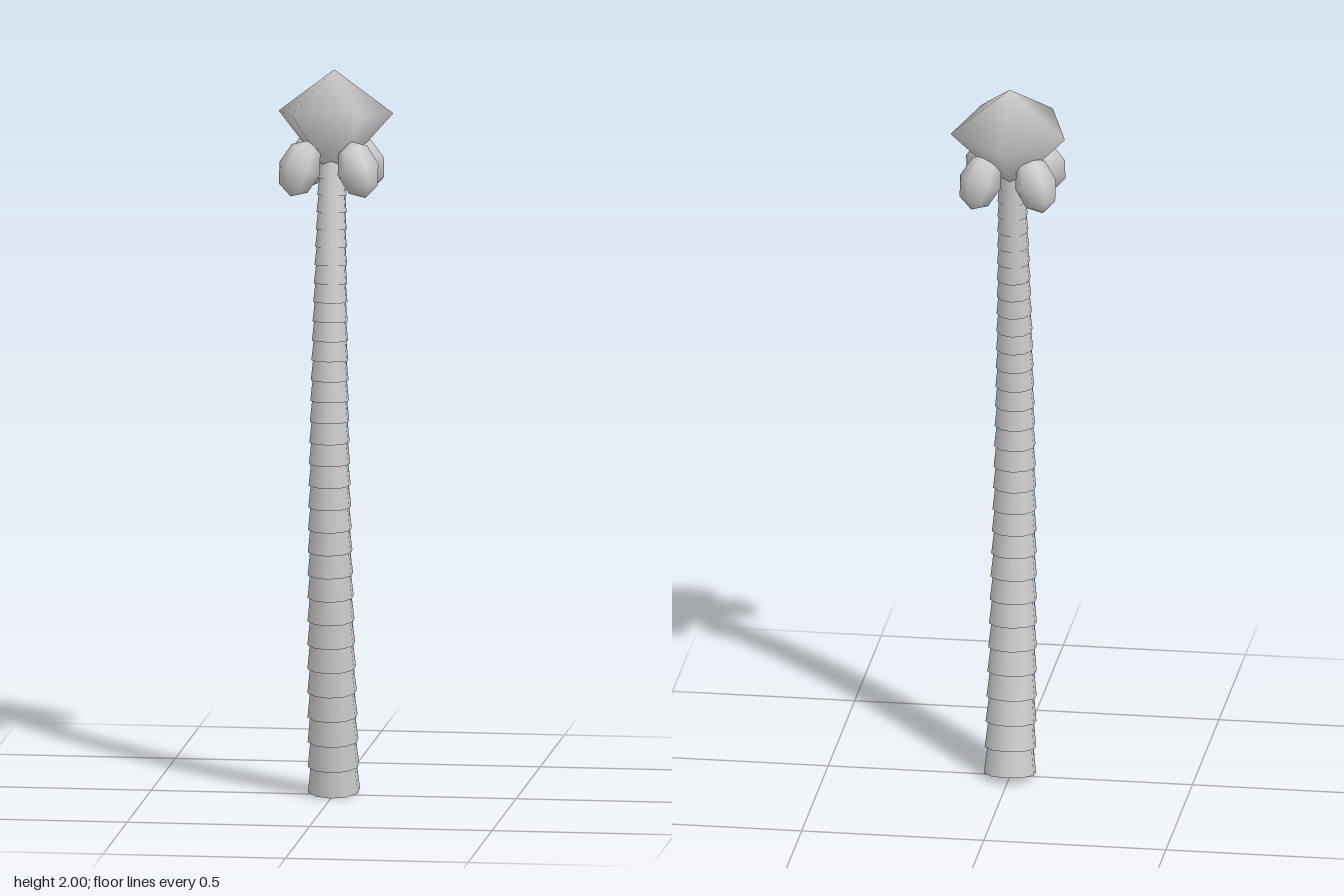
import * as THREE from 'three';
import { mergeVertices } from 'three/addons/utils/BufferGeometryUtils.js';

const UP = new THREE.Vector3(0, 1, 0);
const material = new THREE.MeshStandardMaterial({ color: 0xcccccc, side: THREE.DoubleSide });

function addMesh(parent, geometry, name) {
  const mesh = new THREE.Mesh(geometry, material);
  mesh.name = name;
  parent.add(mesh);
  return mesh;
}

// Joins the seams and poles of a low-poly sphere and smooths it
function smoothed(geometry) {
  geometry.deleteAttribute('uv');
  geometry.deleteAttribute('normal');
  const merged = mergeVertices(geometry, 1e-4);
  merged.computeVertexNormals();
  return merged;
}

// Bowed trunk of overlapping bark rings, each flared at its lower edge
function makeTrunk() {
  const trunk = new THREE.Group();
  trunk.name = 'trunk';
  const curve = new THREE.CatmullRomCurve3([
    [0.012, -0.008], [0.2, 0.02], [0.4, 0.046], [0.6, 0.067], [0.8, 0.081], [1.0, 0.086],
    [1.2, 0.081], [1.4, 0.067], [1.6, 0.045], [1.75, 0.024],
  ].map(([y, z]) => new THREE.Vector3(0, y, z)));
  const rings = 30;
  const place = (i) => { const s = i / rings; return s * (1.25 - 0.25 * s); };
  for (let i = 0; i < rings; i++) {
    const a = curve.getPointAt(place(i));
    const b = curve.getPointAt(place(i + 1));
    const axis = b.clone().sub(a);
    const length = axis.length() * 1.08;
    axis.normalize();
    const t = place(i);
    const radius = 0.072 - 0.022 * t - 0.012 * t * t;
    const geometry = new THREE.CylinderGeometry(radius * 0.88, radius, length, 10, 1, i > 0);
    geometry.translate(0, length / 2, 0);
    const ring = addMesh(trunk, geometry, 'barkRing');
    ring.position.copy(a);
    ring.quaternion.setFromUnitVectors(UP, axis);
  }
  return trunk;
}

// Five-sided pointed crown, its rim tipped down towards the back
function makeCrown() {
  const geometry = new THREE.SphereGeometry(1, 5, 2).rotateY(-Math.PI / 2);
  const p = geometry.attributes.position;
  for (let i = 0; i < p.count; i++) {
    const x = p.getX(i), y = p.getY(i), z = p.getZ(i);
    if (y > 0.5) p.setXYZ(i, 0, 2, -0.012);
    else if (y < -0.5) p.setXYZ(i, 0, 1.7, 0.025);
    else p.setXYZ(i, x * 0.165, 1.882 + z * 0.018, z * 0.163 + 0.002);
  }
  return smoothed(geometry);
}

export function createModel() {
  const model = new THREE.Group();
  model.name = 'palmTree';
  model.add(makeTrunk());
  addMesh(model, makeCrown(), 'crown');

  // Four coconuts hang under the crown, their lower ends leaning outwards
  const nut = smoothed(new THREE.SphereGeometry(1, 6, 4).scale(0.058, 0.08, 0.058));
  for (const side of [-1, 1]) {
    for (const [x, y, z, lean] of [[0.08, 1.745, 0.1, 1], [0.076, 1.74, -0.043, -1]]) {
      const coconut = addMesh(model, nut, 'coconut');
      coconut.position.set(side * x, y, z);
      const axis = new THREE.Vector3(-side * 0.3, 1, -lean * 0.25).normalize();
      coconut.quaternion.setFromUnitVectors(UP, axis);
    }
  }
  return model;
}
